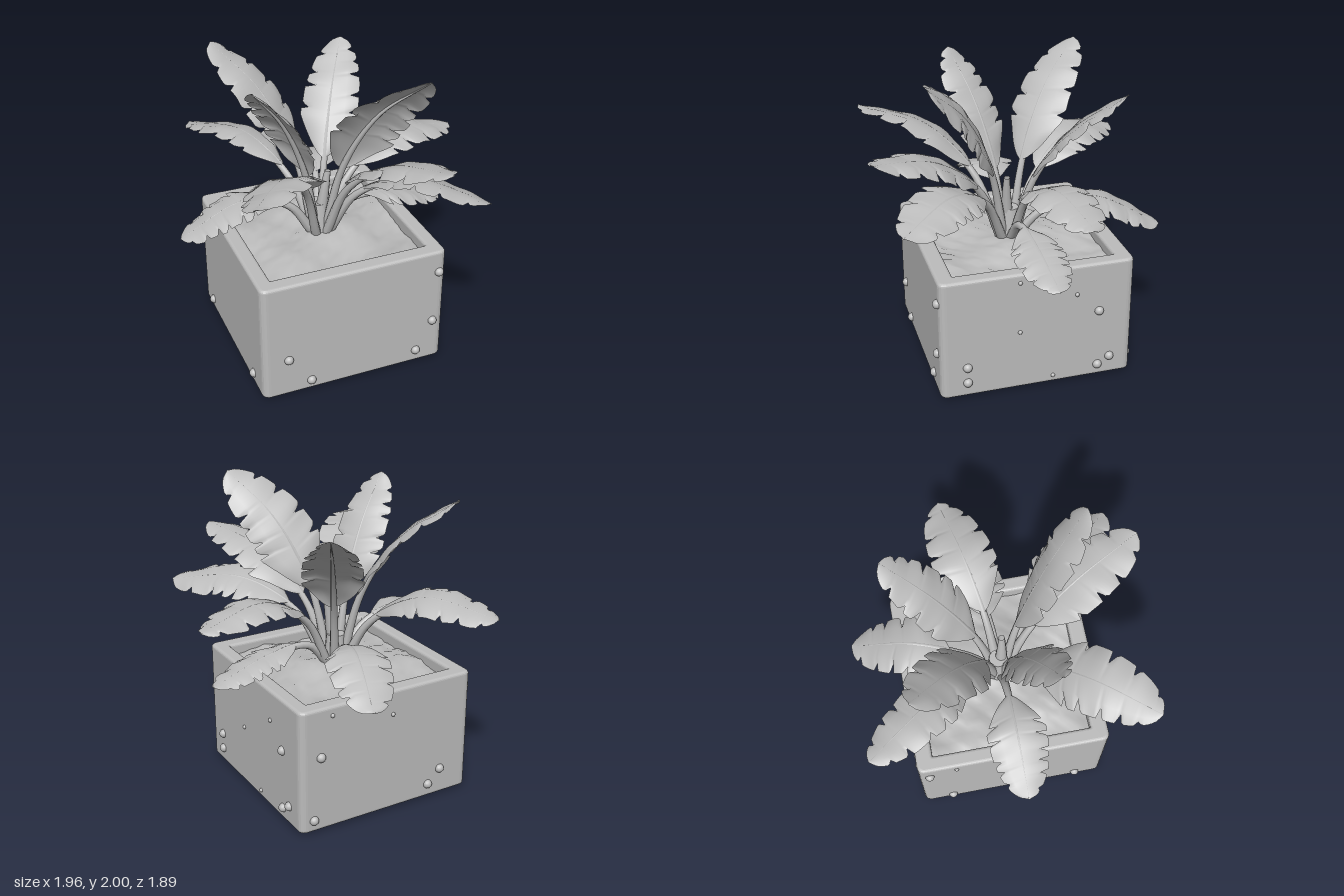
import * as THREE from 'three';

// Small seeded generator for ragged leaf edges and soil bumps
function seeded(seed) {
  let s = seed;
  return () => (s = (s * 16807) % 2147483647) / 2147483647;
}

// Tube along a curve, narrowing from r0 to r1
function taperedTube(curve, r0, r1, steps = 24, sides = 8) {
  const geo = new THREE.TubeGeometry(curve, steps, 1, sides, false);
  const pos = geo.attributes.position, v = new THREE.Vector3();
  for (let i = 0; i < pos.count; i++) {
    const t = Math.floor(i / (sides + 1)) / steps;
    const c = curve.getPointAt(t);
    v.fromBufferAttribute(pos, i).sub(c).multiplyScalar(r0 + (r1 - r0) * t).add(c);
    pos.setXYZ(i, v.x, v.y, v.z);
  }
  return geo;
}

// Arched blade with torn edges, lofted over the outer part of the curve
function bladeGeometry(curve, start, width, sideDir, seed) {
  const rand = seeded(seed * 7919 + 13), rows = 48, across = [-1, -0.55, 0, 0.55, 1];
  const pos = [], idx = [];
  const tears = [-1, 1].map(() => {
    const cuts = new Array(rows + 1).fill(1);
    for (let j = 12 + Math.floor(rand() * 6); j < rows; j += 5 + Math.floor(rand() * 6)) {
      cuts[j] = 0.6 + rand() * 0.2;
      cuts[j + 1] = 0.92;
    }
    return cuts;
  });
  for (let j = 0; j <= rows; j++) {
    const s = j / rows, t = start + (1 - start) * s;
    const c = curve.getPointAt(t), tan = curve.getTangentAt(t);
    const side = sideDir.clone().addScaledVector(tan, -tan.dot(sideDir)).normalize();
    const up = new THREE.Vector3().crossVectors(side, tan).normalize();
    if (up.y < 0) up.negate();
    // Broad oval outline with a blunt tip
    const outline = Math.min(1, Math.pow(s / 0.28, 0.6)) * Math.pow(Math.max(0, 1 - Math.pow(s, 3.8)), 0.55);
    for (const u of across) {
      const edge = Math.abs(u);
      const tear = edge === 1 ? tears[u < 0 ? 0 : 1][j] : 1;
      const half = 0.5 * width * Math.max(0.015, outline) * tear;
      const wave = 0.006 * Math.sin(j * 0.5 + u * 2 + seed);
      const p = c.clone()
        .addScaledVector(side, u * half)
        .addScaledVector(up, half * (0.22 * edge - 0.42 * u * u) + wave * edge + 0.016 * (1 - s) + 0.002)
        .addScaledVector(tan, edge * half * 0.3 * (1 - s));
      pos.push(p.x, p.y, p.z);
    }
    if (j < rows) for (let k = 0; k < 4; k++) {
      const a = j * 5 + k;
      idx.push(a, a + 1, a + 5, a + 1, a + 6, a + 5);
    }
  }
  const geo = new THREE.BufferGeometry();
  geo.setAttribute('position', new THREE.Float32BufferAttribute(pos, 3));
  geo.setIndex(idx);
  geo.computeVertexNormals();
  return geo;
}

// Rectangle with rounded corners, for the planter wall and its opening
function roundedRect(PathType, x0, x1, y0, y1, r) {
  const p = new PathType();
  p.moveTo(x0 + r, y0);
  p.lineTo(x1 - r, y0); p.quadraticCurveTo(x1, y0, x1, y0 + r);
  p.lineTo(x1, y1 - r); p.quadraticCurveTo(x1, y1, x1 - r, y1);
  p.lineTo(x0 + r, y1); p.quadraticCurveTo(x0, y1, x0, y1 - r);
  p.lineTo(x0, y0 + r); p.quadraticCurveTo(x0, y0, x0 + r, y0);
  return p;
}

export function createModel() {
  const model = new THREE.Group();
  const grey = new THREE.MeshStandardMaterial({ color: 0xbcbcbc, side: THREE.DoubleSide });
  grey.name = 'clay grey';
  const add = (parent, name, geo) => {
    const m = new THREE.Mesh(geo, grey);
    m.name = name;
    parent.add(m);
    return m;
  };

  // Planter: square wall with bevelled rim, floor and soil
  const planter = new THREE.Group();
  planter.name = 'planter';
  model.add(planter);
  const b = 0.02;
  const wall = roundedRect(THREE.Shape, -0.67 + b, 0.57 - b, -0.61 + b, 0.65 - b, 0.03);
  wall.holes.push(roundedRect(THREE.Path, -0.57 - b, 0.47 + b, -0.5 - b, 0.54 + b, 0.03));
  const wallGeo = new THREE.ExtrudeGeometry(wall, {
    depth: 0.82 - 2 * b, bevelEnabled: true, bevelSize: b, bevelThickness: b, bevelSegments: 4, curveSegments: 5,
  });
  wallGeo.rotateX(-Math.PI / 2);
  add(planter, 'wall', wallGeo).position.y = 0.02 + b;
  add(planter, 'floor', new THREE.BoxGeometry(1.12, 0.05, 1.12)).position.set(-0.05, 0.045, -0.02);

  const soilGeo = new THREE.PlaneGeometry(1.06, 1.06, 24, 24).rotateX(-Math.PI / 2);
  const sp = soilGeo.attributes.position, rand = seeded(41);
  for (let i = 0; i < sp.count; i++) {
    const x = sp.getX(i), z = sp.getZ(i);
    sp.setY(i, 0.02 * Math.sin(x * 9 + z * 4) * Math.cos(z * 8 - x * 3) + 0.02 * (rand() - 0.5)
      + 0.04 * Math.exp(-8 * (x * x + z * z)));
  }
  soilGeo.computeVertexNormals();
  add(planter, 'soil', soilGeo).position.set(-0.05, 0.765, -0.02);

  // Knobs and small specks on each side of the planter: [along, height]
  const place = {
    front: (a, y) => [a, y, 0.61], back: (a, y) => [a, y, -0.65],
    right: (a, y) => [-0.67, y, a], left: (a, y) => [0.57, y, a],
  };
  const addDots = (suffix, radius, sides) => {
    const geo = new THREE.IcosahedronGeometry(radius, 2);
    for (const side in sides) for (const [a, y] of sides[side]) {
      add(planter, side + suffix, geo).position.set(...place[side](a, y));
    }
  };
  addDots('Knob', 0.03, {
    front: [[-0.5, 0.29], [-0.35, 0.09], [0.38, 0.11], [0.49, 0.32], [0.52, 0.69]],
    left: [[0.44, 0.23], [0.44, 0.12], [-0.5, 0.15], [-0.42, 0.5], [-0.42, 0.1]],
    back: [[0.43, 0.52], [0.48, 0.1], [-0.45, 0.2], [-0.36, 0.11]],
    right: [[-0.58, 0.71], [-0.45, 0.1], [0.42, 0.1]],
  });
  addDots('Speck', 0.014, {
    left: [[-0.27, 0.64], [0.1, 0.78], [0.1, 0.43], [-0.12, 0.07]],
    back: [[-0.08, 0.68], [0.35, 0.78]],
    right: [[-0.4, 0.78]],
  });
  add(planter, 'cornerLump', new THREE.IcosahedronGeometry(0.022, 1)).position.set(0.51, 0.022, -0.6);

  // Leaves: tip x and z, heights near the crown, at the middle and at the tip, blade width, sideways roll
  const leaves = {
    lowRightLeaf: [-0.98, 0.01, 1.02, 1.11, 0.94, 0.38, 0],
    lowLeftLeaf: [0.85, -0.06, 0.96, 0.95, 0.84, 0.34, 0],
    lowBackLeaf: [0.25, -0.94, 0.98, 1.07, 0.89, 0.4, 0],
    leftLeaf: [0.98, -0.22, 1.14, 1.34, 1.28, 0.42, 0],
    backRightLeaf: [-0.65, -0.91, 1.12, 1.33, 1.27, 0.38, 0.22],
    frontLeftLeaf: [0.72, 0.83, 1.12, 1.31, 1.26, 0.4, -0.3],
    frontRightLeaf: [-0.76, 0.83, 1.2, 1.48, 1.54, 0.43, 0.3],
    frontLeaf: [0.39, 0.94, 1.18, 1.46, 1.58, 0.43, 0],
    tallFrontLeaf: [0.4, 0.6, 1.3, 1.72, 2, 0.44, 0],
    tallRightLeaf: [-0.56, 0.26, 1.25, 1.65, 1.95, 0.37, 0],
    tallBackRightLeaf: [-0.55, -0.6, 1.3, 1.7, 1.95, 0.4, 0],
    tallBackLeftLeaf: [0.36, -0.64, 1.22, 1.58, 1.84, 0.38, 0],
  };
  // Two leaves at the front are turned to face straight ahead
  const turned = { frontLeaf: new THREE.Vector3(1, 0, -0.1), tallFrontLeaf: new THREE.Vector3(1, 0, 0.2) };
  const plant = new THREE.Group();
  plant.name = 'plant';
  model.add(plant);
  const crownX = -0.05;
  Object.entries(leaves).forEach(([name, [x, z, nearY, midY, tipY, width, roll]], i) => {
    const leaf = new THREE.Group();
    leaf.name = name;
    plant.add(leaf);
    const along = (f, y) => new THREE.Vector3(crownX + (x - crownX) * f, y, z * f);
    const curve = new THREE.CatmullRomCurve3([along(0.06, 0.8), along(0.23, nearY), along(0.56, midY), along(1, tipY)]);
    const side = turned[name] || new THREE.Vector3(z, 0, crownX - x).normalize().setY(roll);
    add(leaf, 'stem', taperedTube(curve, 0.033, 0.002));
    add(leaf, 'blade', bladeGeometry(curve, 0.34, width, side, i + 1));
  });

  // Crown where the stems meet, with a furled young shoot
  add(plant, 'crown', new THREE.CylinderGeometry(0.06, 0.085, 0.26, 14)).position.set(crownX, 0.87, -0.01);
  const shoot = new THREE.QuadraticBezierCurve3(
    new THREE.Vector3(crownX, 0.85, 0), new THREE.Vector3(-0.03, 1.05, 0.02), new THREE.Vector3(0, 1.23, 0.02));
  add(plant, 'youngShoot', taperedTube(shoot, 0.05, 0.02, 12, 10));

  return model;
}
